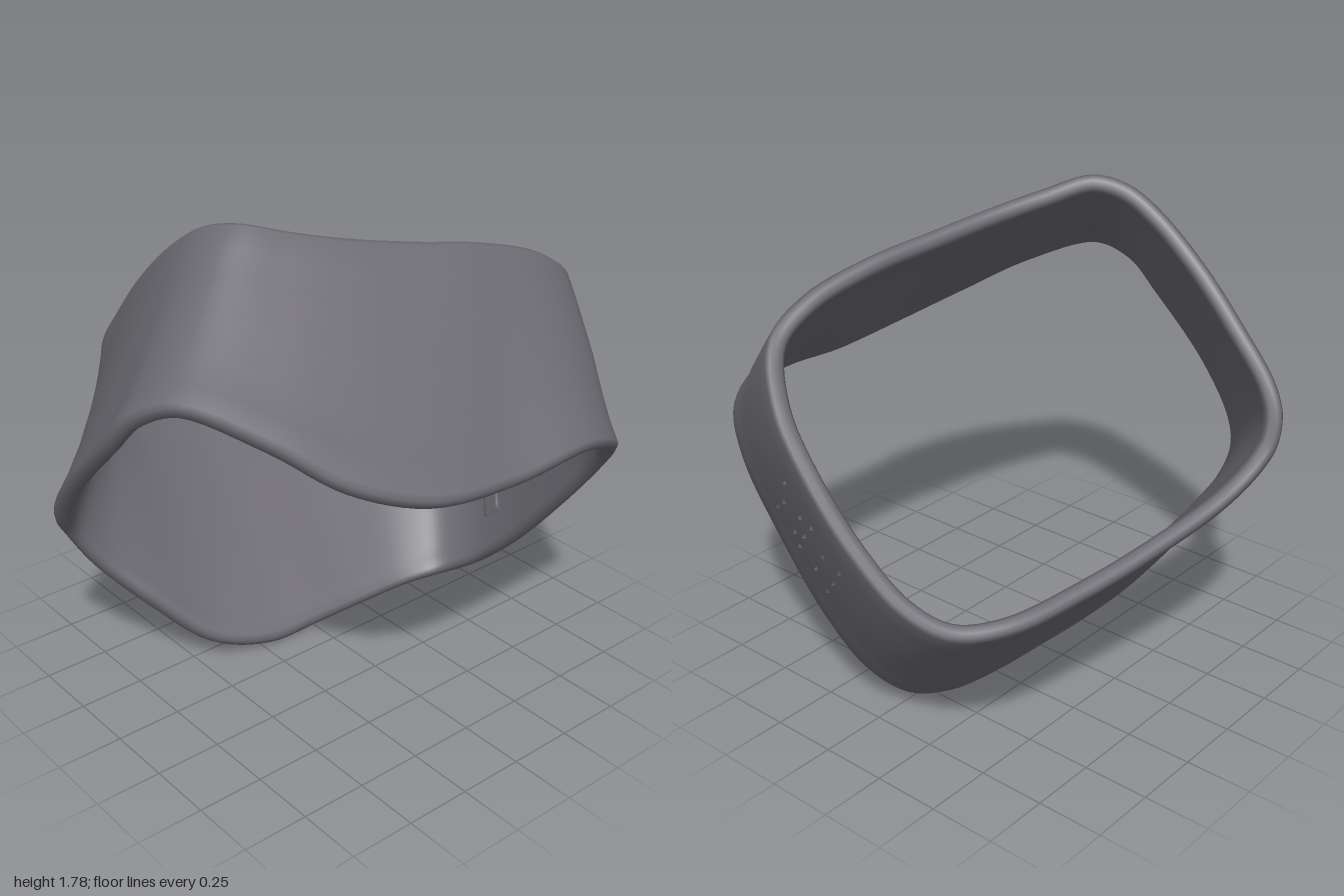
import * as THREE from 'three';

// Matching points along the two rims of the band: [upper rim xyz, lower rim xyz]
const PAIRS = [
  [-.78, .71, -.10, -.12, .01, .00], [-.85, .80, .17, -.13, .01, .22],
  [-.89, .90, .33, -.19, .08, .45], [-.90, .97, .39, -.30, .25, .63],
  [-.88, 1.07, .43, -.42, .45, .80], [-.82, 1.17, .45, -.45, .60, .89],
  [-.70, 1.31, .455, -.40, .71, .955], [-.50, 1.52, .46, -.23, .92, 1.0],
  [-.30, 1.69, .45, .02, 1.17, 1.0], [-.18, 1.765, .42, .15, 1.31, .97],
  [-.07, 1.79, .36, .30, 1.38, .89], [.03, 1.75, .20, .55, 1.29, .71],
  [.11, 1.71, .02, .74, 1.17, .55], [.18, 1.665, -.22, .86, 1.08, .30],
  [.24, 1.62, -.48, .88, 1.045, -.05], [.285, 1.54, -.73, .87, 1.05, -.42],
  [.29, 1.43, -.88, .81, .96, -.62], [.20, 1.24, -.96, .70, .82, -.69],
  [.02, 1.04, -1.0, .50, .56, -.705], [-.18, .84, -1.0, .28, .30, -.70],
  [-.36, .69, -.97, .11, .14, -.67], [-.50, .61, -.89, -.01, .06, -.60],
  [-.61, .60, -.73, -.08, .03, -.47], [-.70, .64, -.42, -.11, .015, -.25],
];
const N = PAIRS.length;
const rim = k => new THREE.CatmullRomCurve3(
  PAIRS.map(p => new THREE.Vector3(p[k], p[k + 1], p[k + 2])), true);
const upperRim = rim(0), lowerRim = rim(3);

// Cross-section of the wall: [position from upper to lower rim, depth inward]
const PROFILE = [
  [0, .022], [.008, .003], [.03, -.008], [.15, -.004], [.3, 0], [.5, 0], [.7, 0], [.86, -.008],
  [.97, -.02], [.992, -.009], [1, .014], [.992, .038], [.97, .05], [.92, .047], [.84, .046],
  [.7, .05], [.5, .05], [.3, .05], [.16, .05], [.08, .053], [.03, .058], [.008, .047],
];

// Point on the outer wall; the back wall bulges slightly
function outer(i, t) {
  const u = (((i / N) % 1) + 1) % 1;
  const p = upperRim.getPoint(u).lerp(lowerRim.getPoint(u), t);
  const back = THREE.MathUtils.smoothstep(-p.z, 0.4, 0.8);
  p.z -= back * 0.03 * 4 * t * (1 - t);
  return p;
}

// Inward normal of the wall
function inward(i, t) {
  const e = 0.05;
  const du = outer(i + e, t).sub(outer(i - e, t));
  const dt = outer(i, t + e).sub(outer(i, t - e));
  return du.cross(dt).normalize();
}
const wallPoint = (i, t, d) => outer(i, t).addScaledVector(inward(i, t), d);

function gridGeometry(rows, cols, point, closed, flip) {
  const pos = [], index = [];
  for (let r = 0; r < rows; r++)
    for (let c = 0; c < cols; c++) pos.push(...point(r, c).toArray());
  const R = closed ? rows : rows - 1, C = closed ? cols : cols - 1;
  for (let r = 0; r < R; r++) for (let c = 0; c < C; c++) {
    const r2 = (r + 1) % rows, c2 = (c + 1) % cols;
    const a = r * cols + c, b = r2 * cols + c, d = r * cols + c2, e = r2 * cols + c2;
    if (flip) index.push(a, d, b, b, d, e);
    else index.push(a, b, d, b, e, d);
  }
  const g = new THREE.BufferGeometry();
  g.setAttribute('position', new THREE.Float32BufferAttribute(pos, 3));
  g.setIndex(index);
  g.computeVertexNormals();
  return g;
}

// Thin raised plate on the inner wall, its border sunk into the wall
function plateGeometry(i0, i1, t0, t1, lift) {
  const n = 10;
  const f = k => THREE.MathUtils.clamp((k - 1) / (n - 2), 0, 1);
  return gridGeometry(n, n, (r, c) => {
    const edge = r === 0 || c === 0 || r === n - 1 || c === n - 1;
    return wallPoint(i0 + (i1 - i0) * f(r), t0 + (t1 - t0) * f(c), edge ? 0.045 : 0.05 + lift);
  }, false, false);
}

export function createModel() {
  const model = new THREE.Group();
  const grey = new THREE.MeshStandardMaterial({ color: 0x6c6a71 });
  grey.name = 'dark grey';
  const add = (name, geometry, parent = model) => {
    const m = new THREE.Mesh(geometry, grey);
    m.name = name;
    parent.add(m);
    return m;
  };

  // Closed band with rounded rims
  const steps = 144;
  add('band', gridGeometry(steps, PROFILE.length,
    (r, c) => wallPoint(r / steps * N, PROFILE[c][0], PROFILE[c][1]), true, true));

  // Square pad with four corner tabs on the inside of the back wall
  const ci = 18.4, ct = 0.45, hi = 0.72, ht = 0.24;
  add('innerPad', plateGeometry(ci - hi, ci + hi, ct - ht, ct + ht, 0.006));
  for (const si of [-1, 1]) for (const st of [-1, 1]) {
    const i = ci + si * (hi + 0.16), t = ct + st * (ht + 0.06);
    add('padTab', plateGeometry(i - 0.2, i + 0.2, t - 0.075, t + 0.075, 0.005));
  }

  // Small pointed studs scattered over both faces of the back wall
  let seed = 7;
  const rand = () => (seed = (seed * 16807) % 2147483647) / 2147483647;
  const studGeometry = new THREE.ConeGeometry(0.028, 0.026, 3);
  const up = new THREE.Vector3(0, 1, 0);
  const studs = new THREE.Group();
  studs.name = 'studs';
  model.add(studs);
  for (let a = -2; a <= 2; a++) for (let b = -2; b <= 2; b++) {
    const i = ci + (a + (rand() - 0.5) * 0.6) * 0.28;
    const t = ct + (b + (rand() - 0.5) * 0.6) * 0.095;
    const faces = (a + b) % 2 ? ['innerStud'] : ['innerStud', 'outerStud'];
    for (const name of faces) {
      const inner = name === 'innerStud';
      const stud = add(name, studGeometry, studs);
      const n = inward(i, t).multiplyScalar(inner ? 1 : -1);
      stud.position.copy(wallPoint(i, t, inner ? 0.057 : 0.002));
      stud.quaternion.setFromUnitVectors(up, n);
      stud.rotateY(rand() * 6.28);
    }
  }
  return model;
}
